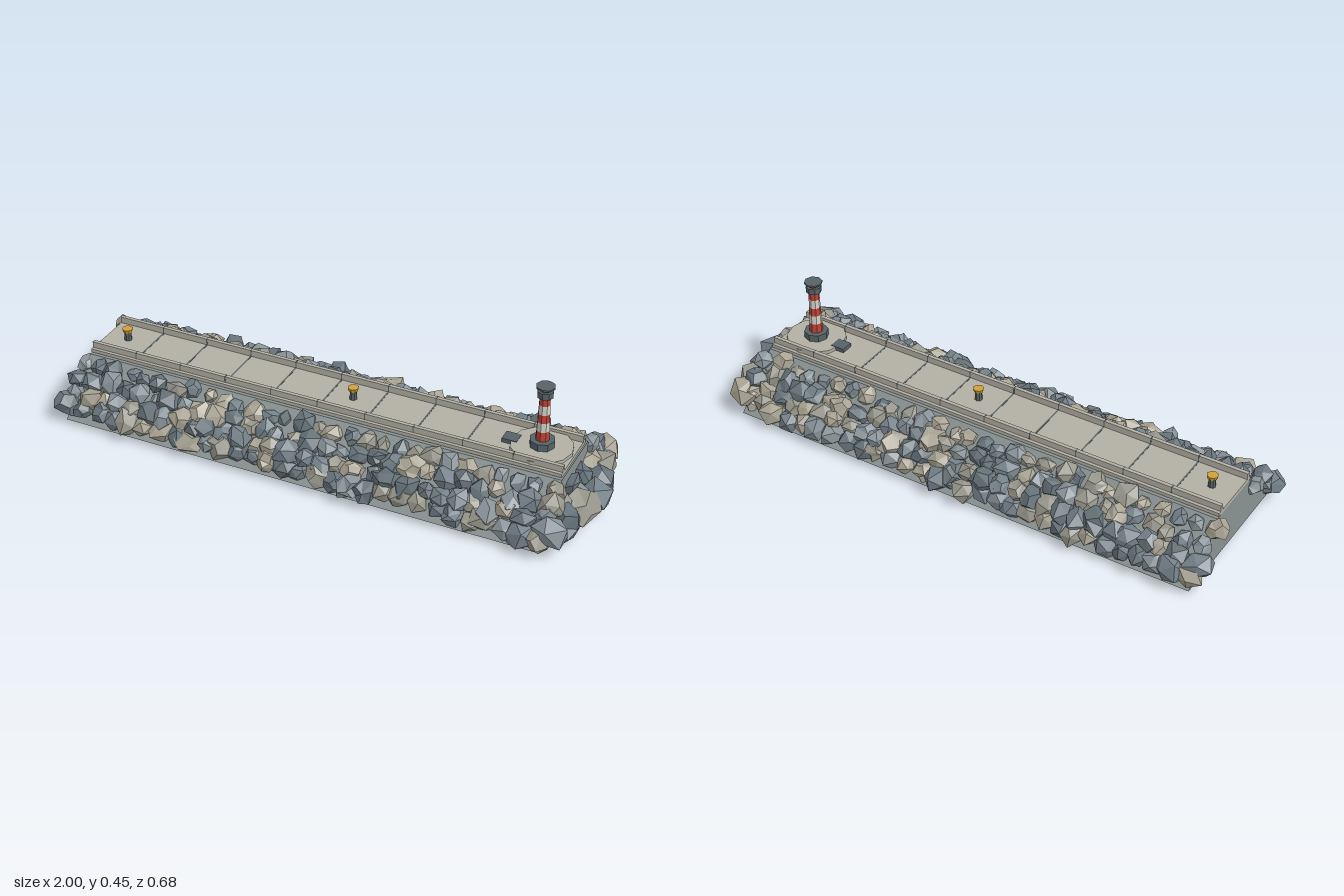
import * as THREE from 'three';
import { mergeGeometries, mergeVertices } from 'three/addons/utils/BufferGeometryUtils.js';

const mat = (color) => new THREE.MeshStandardMaterial({ color, flatShading: true });
const CONCRETE = mat(0xb2b0a4), CORE = mat(0x8a9392), DARK = mat(0x566266), JOINT = mat(0x5f6768);
const RED = mat(0xbf4436), WHITE = mat(0xd2d2ca), YELLOW = mat(0xd0a03a);
const ROCKS = [0x75828a, 0x89949a, 0xaaa595, 0x66737a, 0x98978c].map(mat);

// Seeded random numbers
let seed = 7;
const rand = () => {
  seed = (seed * 1664525 + 1013904223) % 4294967296;
  return seed / 4294967296;
};
const spread = (a) => (rand() * 2 - 1) * a;

function add(parent, name, geo, material, x = 0, y = 0, z = 0) {
  const mesh = new THREE.Mesh(geo, material);
  mesh.name = name;
  mesh.position.set(x, y, z);
  parent.add(mesh);
  return mesh;
}

// Box given by its limits
const box = (parent, name, material, [x0, x1], [y0, y1], [z0, z1]) =>
  add(parent, name, new THREE.BoxGeometry(x1 - x0, y1 - y0, z1 - z0), material,
    (x0 + x1) / 2, (y0 + y1) / 2, (z0 + z1) / 2);

// Upright faceted drum from y0 to y1
const drum = (parent, name, material, x, y0, y1, r0, r1, sides = 8) =>
  add(parent, name, new THREE.CylinderGeometry(r1, r0, y1 - y0, sides), material, x, (y0 + y1) / 2, 0);

// Irregular boulder: a regular solid with each corner pushed in or out
function boulder(x, y, z, r) {
  let g = rand() < 0.7 ? new THREE.IcosahedronGeometry(1, 0) : new THREE.DodecahedronGeometry(1, 0);
  g.deleteAttribute('normal');
  g.deleteAttribute('uv');
  g = mergeVertices(g, 1e-3);
  const p = g.attributes.position;
  for (let i = 0; i < p.count; i++) {
    const k = 0.98 + spread(0.2);
    p.setXYZ(i, p.getX(i) * k, p.getY(i) * k, p.getZ(i) * k);
  }
  g.rotateX(rand() * 6.28).rotateY(rand() * 6.28).rotateZ(rand() * 6.28);
  g.scale(r * (1 + spread(0.15)), r * (0.92 + spread(0.1)), r * (1 + spread(0.15)));
  g.translate(x, Math.max(y, r * 0.9 + 0.01), z);
  g = g.toNonIndexed();
  g.computeVertexNormals();
  return g;
}

// Collects boulders by stone colour, one mesh per colour
function rockField(name, place) {
  const group = new THREE.Group();
  group.name = name;
  const bins = ROCKS.map(() => []);
  place((x, y, z, r) => bins[Math.floor(rand() * bins.length)].push(boulder(x, y, z, r)));
  bins.forEach((b, i) => b.length && add(group, name + 'Stones' + (i + 1), mergeGeometries(b), ROCKS[i]));
  return group;
}

export function createModel() {
  seed = 7;
  const model = new THREE.Group();
  model.name = 'breakwater';

  // Sloped core, running along x
  const section = new THREE.Shape([[-0.305, 0.035], [0.305, 0.035], [0.125, 0.21], [-0.125, 0.21]]
    .map(([a, b]) => new THREE.Vector2(a, b)));
  const core = new THREE.ExtrudeGeometry(section, { depth: 1.8, bevelEnabled: false });
  core.rotateY(Math.PI / 2);
  add(model, 'core', core, CORE, -0.945);

  // Boulder slopes on both long sides: rows of [z, y, radius]
  const rows = [[0.275, 0.075, 0.046], [0.25, 0.115, 0.046], [0.205, 0.15, 0.044], [0.15, 0.178, 0.04]];
  for (const side of [1, -1]) {
    model.add(rockField(side > 0 ? 'frontArmour' : 'backArmour', (put) => {
      for (const [z, y, r] of rows) {
        for (let i = 0; i < 30; i++) {
          put(-0.94 + i * 0.0615 + spread(0.014), y + spread(0.012), side * (z + spread(0.012)), r * (1 + spread(0.2)));
        }
      }
    }));
  }

  // Larger boulders round the seaward head
  model.add(rockField('headArmour', (put) => {
    for (let i = 0; i < 7; i++) {
      const t = (i - 3) / 3;
      put(0.92 - 0.06 * t * t + spread(0.01), 0.095 + spread(0.012), t * 0.265, 0.066 + spread(0.006));
    }
    for (let i = 0; i < 6; i++) {
      const t = (i - 2.5) / 2.5;
      put(0.865 - 0.02 * t * t, 0.13 + spread(0.008), t * 0.22, 0.054 + spread(0.006));
    }
  }));

  // Deck with ledges, kerbs and joints
  const X = [-0.945, 0.85];
  box(model, 'deck', CONCRETE, X, [0.205, 0.225], [-0.104, 0.104]);
  for (const s of [1, -1]) {
    const span = (a, b) => (s > 0 ? [a, b] : [-b, -a]);
    box(model, 'ledge', CONCRETE, X, [0.213, 0.226], span(0.1, 0.116));
    box(model, 'kerb', CONCRETE, X, [0.22, 0.249], span(0.09, 0.104));
    for (let i = 1; i < 10; i++) {
      const x = -0.945 + i * 0.18;
      box(model, 'kerbJoint', JOINT, [x - 0.002, x + 0.002], [0.222, 0.2495], span(0.0895, 0.1045));
    }
  }
  for (let i = 1; i < 10; i++) {
    const x = -0.945 + i * 0.18;
    box(model, 'deckJoint', JOINT, [x - 0.003, x + 0.003], [0.22, 0.2258], [-0.09, 0.09]);
  }

  // Mooring bollards
  for (const x of [-0.86, 0.043]) {
    const bollard = new THREE.Group();
    bollard.name = 'bollard';
    drum(bollard, 'bollardPost', DARK, x, 0.225, 0.257, 0.014, 0.012);
    drum(bollard, 'bollardCap', YELLOW, x, 0.257, 0.271, 0.016, 0.02);
    model.add(bollard);
  }

  // Lighthouse on its pad
  const light = new THREE.Group();
  light.name = 'lighthouse';
  const LX = 0.737;
  drum(light, 'pad', CONCRETE, LX, 0.224, 0.238, 0.108, 0.108, 12);
  box(light, 'step', DARK, [0.602, 0.655], [0.224, 0.24], [-0.024, 0.024]);
  drum(light, 'plinth', DARK, LX, 0.238, 0.264, 0.044, 0.044);
  const bands = [0.264, 0.3, 0.334, 0.366, 0.4, 0.431];
  const radius = (y) => 0.0245 - (y - 0.264) * 0.033;
  for (let i = 0; i < 5; i++) {
    drum(light, 'towerBand', i % 2 ? WHITE : RED, LX, bands[i], bands[i + 1], radius(bands[i]), radius(bands[i + 1]));
  }
  drum(light, 'gallery', DARK, LX, 0.43, 0.453, 0.028, 0.028);
  drum(light, 'lantern', RED, LX, 0.453, 0.465, 0.0185, 0.0185);
  drum(light, 'roof', DARK, LX, 0.465, 0.471, 0.033, 0.033);
  model.add(light);

  return model;
}
